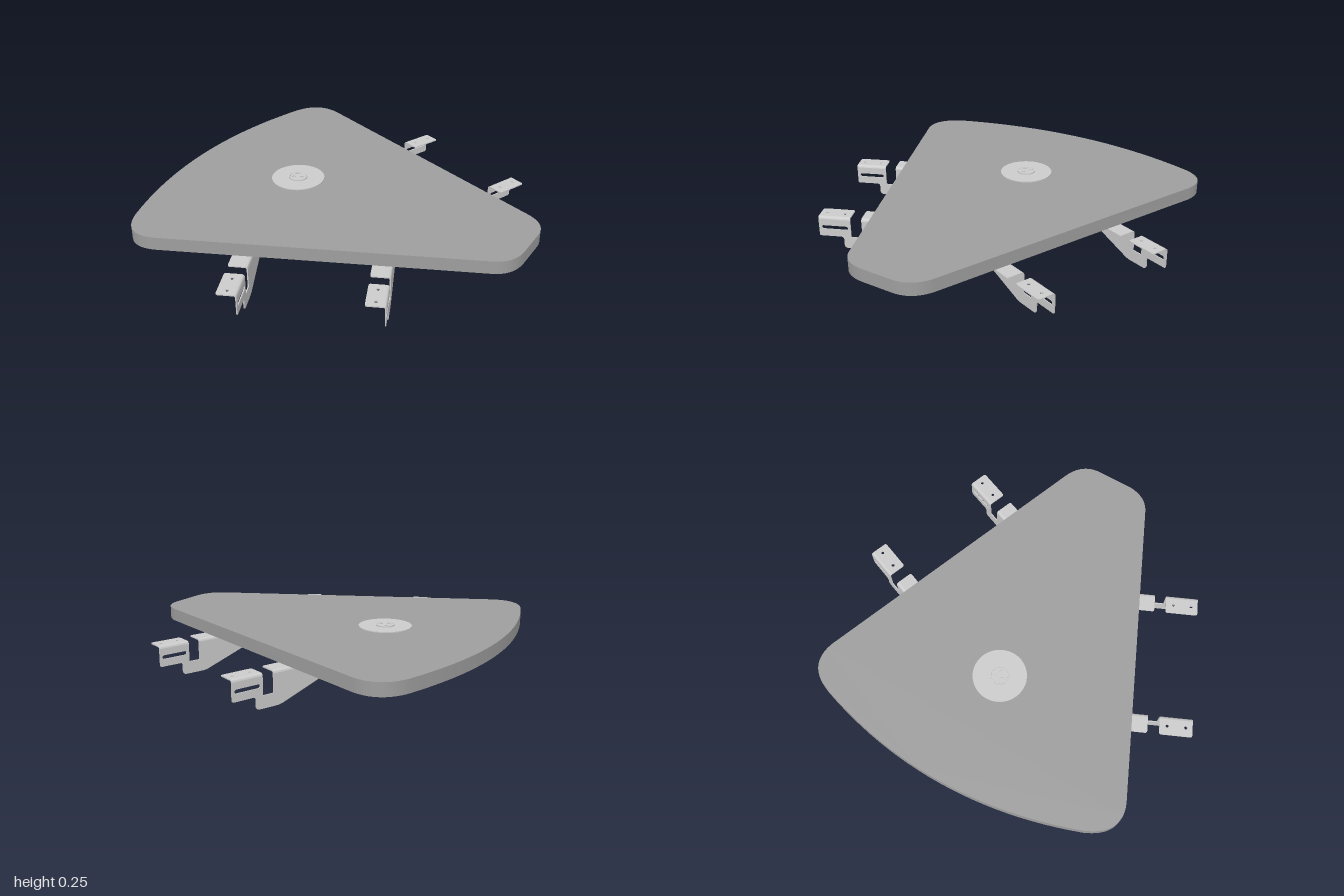
import * as THREE from 'three';
import { toCreasedNormals } from 'three/addons/utils/BufferGeometryUtils.js';

const metal = new THREE.MeshStandardMaterial({ color: 0xcccccc });
const darkGrey = new THREE.MeshStandardMaterial({ color: 0x9e9e9e });

function addMesh(parent, name, geometry, x = 0, y = 0, z = 0, material = metal) {
  const mesh = new THREE.Mesh(geometry, material);
  mesh.name = name;
  mesh.position.set(x, y, z);
  parent.add(mesh);
}

// Polygon from [x, y, cornerCut] entries; a cut above zero rounds that corner.
function roundedShape(points) {
  const shape = new THREE.Shape();
  points.forEach(([x, y, r = 0], i) => {
    const p = new THREE.Vector2(x, y);
    const toward = (q) => new THREE.Vector2(q[0], q[1]).sub(p).normalize().multiplyScalar(r).add(p);
    const a = toward(points[(i + points.length - 1) % points.length]);
    const b = toward(points[(i + 1) % points.length]);
    if (i === 0) shape.moveTo(a.x, a.y);
    else shape.lineTo(a.x, a.y);
    if (r > 0) shape.quadraticCurveTo(x, y, b.x, b.y);
  });
  shape.closePath();
  return shape;
}

function circleHole(x, y, r) {
  return new THREE.Path().absarc(x, y, r, 0, Math.PI * 2, true);
}

function slotHole(x0, x1, y, r) {
  const path = new THREE.Path();
  path.absarc(x0 + r, y, r, Math.PI / 2, Math.PI * 1.5, false);
  path.absarc(x1 - r, y, r, -Math.PI / 2, Math.PI / 2, false);
  path.closePath();
  return path;
}

function extrude(shape, depth, curveSegments = 10) {
  const geo = new THREE.ExtrudeGeometry(shape, { depth, bevelEnabled: false, curveSegments });
  return toCreasedNormals(geo, 0.5);
}

// Shape y becomes -z, thickness rises in y.
const flat = (shape, depth, segments) => extrude(shape, depth, segments).rotateX(-Math.PI / 2);

function createTop() {
  const s = new THREE.Shape();
  s.moveTo(-0.83, -0.653);
  s.lineTo(0.765, -0.653);
  s.quadraticCurveTo(0.87, -0.653, 0.92, -0.535);
  s.lineTo(0.987, -0.385);
  s.quadraticCurveTo(1.027, -0.285, 0.945, -0.2);
  s.lineTo(-0.18, 0.925);
  s.quadraticCurveTo(-0.3, 1.03, -0.42, 0.915);
  s.quadraticCurveTo(-0.95, 0.33, -0.998, -0.455);
  s.quadraticCurveTo(-1.0, -0.653, -0.83, -0.653);
  return flat(s, 0.068, 24);
}

// Sheet-metal bracket: outer end at local z = 0, plate on x = 0, running to -z.
function createBracket(name) {
  const group = new THREE.Group();
  group.name = name;
  const t = 0.006, top = 0.175, width = 0.097, bend = 0.014;
  const edge = top - bend;

  const side = roundedShape([
    [0, edge], [0, 0.065, 0.01], [0.13, 0.065, 0.015], [0.13, 0, 0.02],
    [0.265, 0, 0.02], [0.655, 0.138], [0.655, edge], [0.23, edge],
    [0.23, 0.065], [0.17, 0.065], [0.17, edge],
  ]);
  side.holes.push(slotHole(0.015, 0.155, 0.115, 0.01));
  addMesh(group, 'bracketPlate', extrude(side, t).rotateY(Math.PI / 2), -t);

  // Quarter-round cross-section joining plate and flange
  const fold = new THREE.Shape();
  fold.absarc(0, 0, bend, 0, Math.PI / 2, false);
  fold.absarc(0, 0, bend - t, Math.PI / 2, 0, true);

  const addFlange = (label, u0, u1, holes) => {
    const shape = roundedShape([[-bend, u0], [-bend, u1], [-width, u1, 0.012], [-width, u0, 0.012]]);
    holes.forEach((u) => shape.holes.push(circleHole(-0.05, u, 0.008)));
    addMesh(group, label, flat(shape, t), 0, top - t, 0);
    addMesh(group, label + 'Bend', extrude(fold, u1 - u0, 6), -bend, edge, -u1);
  };
  addFlange('outerFlange', 0, 0.17, [0.035, 0.13]);
  addFlange('innerFlange', 0.23, 0.655, []);
  return group;
}

function createSocket() {
  const group = new THREE.Group();
  group.name = 'cableSocket';
  group.position.set(-0.26, -0.002, -0.037);
  addMesh(group, 'coverDisk', new THREE.CylinderGeometry(0.14, 0.14, 0.008, 48), 0, 0.247, 0);

  // Raised cap with a round opening and two slots
  const cap = new THREE.Shape().absarc(0, 0, 0.043, 0, Math.PI * 2);
  cap.holes.push(circleHole(-0.008, 0.024, 0.01));
  for (const x of [-0.02, 0.022]) {
    const hole = new THREE.Path();
    hole.absellipse(x, -0.01, 0.008, 0.015, 0, Math.PI * 2, true, 0.35);
    cap.holes.push(hole);
  }
  addMesh(group, 'socketCap', flat(cap, 0.005, 20), 0, 0.251, 0);
  const rim = new THREE.Shape().absarc(0, 0, 0.049, 0, Math.PI * 2);
  rim.holes.push(circleHole(0, 0, 0.044));
  addMesh(group, 'socketRim', flat(rim, 0.006, 20), 0, 0.251, 0);

  // Pair of retaining clips under the top
  for (const side of [-1, 1]) {
    const x = side * 0.065;
    addMesh(group, 'clipTab', new THREE.BoxGeometry(0.006, 0.053, 0.08), x - side * 0.022, 0.1515, 0);
    addMesh(group, 'clipFoot', new THREE.BoxGeometry(0.05, 0.006, 0.08), x, 0.128, 0);
    for (const z of [-0.037, 0.037]) {
      addMesh(group, 'clipFace', new THREE.BoxGeometry(0.05, 0.04, 0.006), x, 0.145, z);
    }
  }
  return group;
}

export function createModel() {
  const model = new THREE.Group();
  model.name = 'triangularTabletop';
  addMesh(model, 'top', createTop(), 0, 0.176, 0, darkGrey);
  model.add(createSocket());

  // [name, outer end x, outer end z, turn]
  const brackets = [
    ['frontRightBracket', -0.364, 0.972, 0],
    ['frontLeftBracket', 0.308, 0.972, 0],
    ['backRightBracket', 0.385, -0.818, Math.PI * 0.75],
    ['backLeftBracket', 0.875, -0.326, Math.PI * 0.75],
  ];
  for (const [name, x, z, turn] of brackets) {
    const bracket = createBracket(name);
    bracket.position.set(x, 0, z);
    bracket.rotation.y = turn;
    model.add(bracket);
  }
  return model;
}
